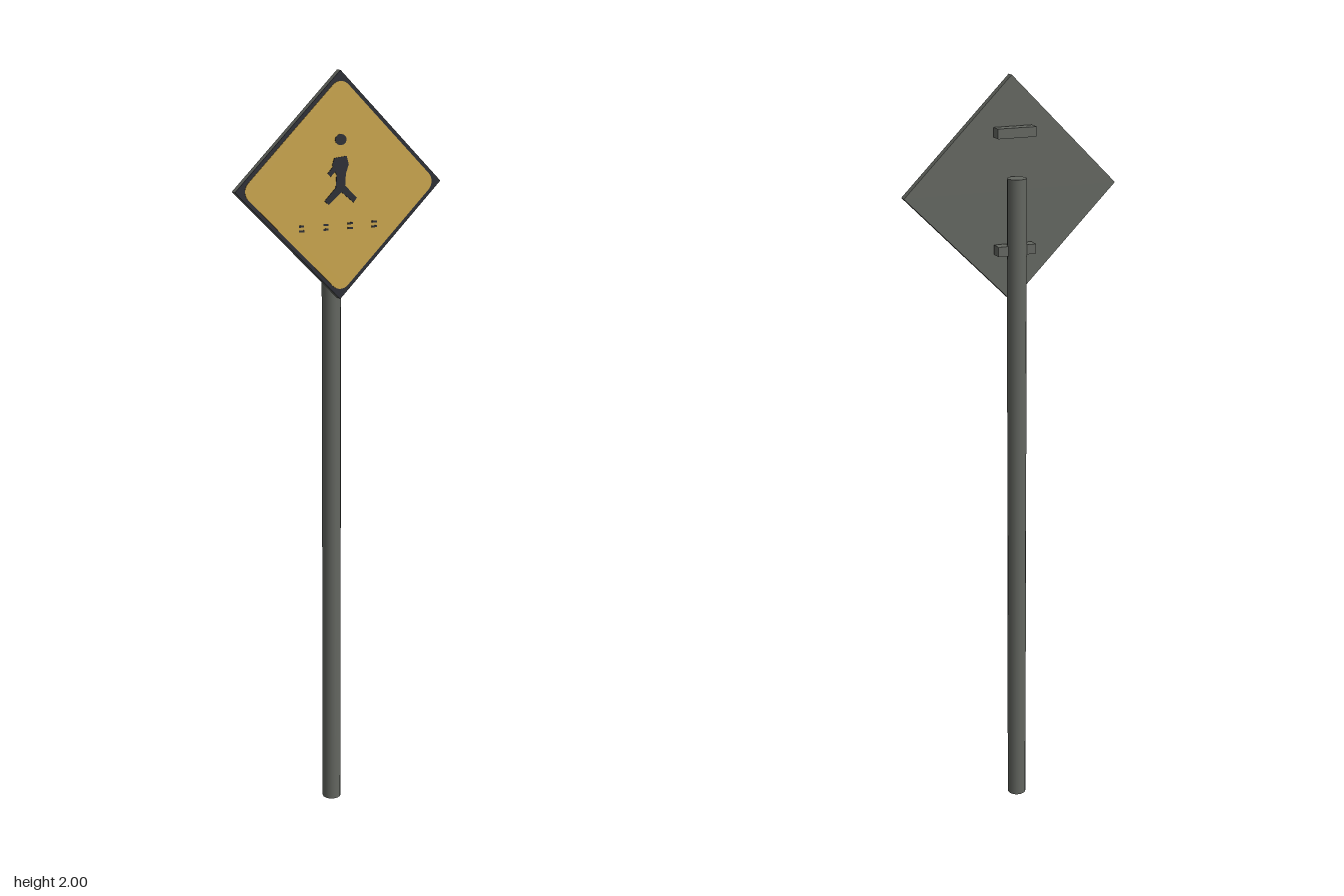
import * as THREE from 'three';

export function createModel() {
  const root = new THREE.Group();
  root.name = 'pedestrianCrossingSign';
  const mat = (name, color) => {
    const m = new THREE.MeshStandardMaterial({ color });
    m.name = name;
    return m;
  };
  const steel = mat('greySteel', 0x646761);
  const yellow = mat('signYellow', 0xcba64c);
  const dark = mat('darkPaint', 0x282a32);

  const add = (parent, name, geo, material, x = 0, y = 0, z = 0) => {
    const mesh = new THREE.Mesh(geo, material);
    mesh.name = name;
    mesh.position.set(x, y, z);
    parent.add(mesh);
    return mesh;
  };
  const plate = (shape, depth) =>
    new THREE.ExtrudeGeometry(shape, { depth, bevelEnabled: false, curveSegments: 6 });
  const polygon = (pts) => new THREE.Shape(pts.map(([x, y]) => new THREE.Vector2(x, y)));

  // square with rounded corners, h = half side
  const roundedSquare = (h, r) => {
    const s = new THREE.Shape();
    const c = h - r;
    s.absarc(c, c, r, 0, Math.PI / 2);
    s.absarc(-c, c, r, Math.PI / 2, Math.PI);
    s.absarc(-c, -c, r, Math.PI, Math.PI * 1.5);
    s.absarc(c, -c, r, Math.PI * 1.5, Math.PI * 2);
    return s;
  };

  // post
  add(root, 'post', new THREE.CylinderGeometry(0.025, 0.025, 1.75, 16), steel, 0, 0.875, -0.016);

  // mounting brackets behind the panel
  for (const [name, y] of [['upperBracket', 1.863], ['lowerBracket', 1.567]]) {
    add(root, name, new THREE.BoxGeometry(0.103, 0.025, 0.03), steel, 0, y, -0.005);
  }

  // diamond panel: steel body, dark border, yellow face
  const sign = new THREE.Group();
  sign.name = 'signPanel';
  sign.position.set(0, 1.713, 0);
  root.add(sign);
  const side = 0.287 * Math.SQRT2;
  const turn = Math.PI / 4;
  add(sign, 'panelBody', new THREE.BoxGeometry(side, side, 0.019), steel, 0, 0, 0.0265).rotation.z = turn;
  add(sign, 'panelBorder', new THREE.BoxGeometry(side, side, 0.001), dark, 0, 0, 0.0365).rotation.z = turn;
  add(sign, 'panelFace', plate(roundedSquare(side / 2 - 0.01, 0.03), 0.0015), yellow, 0, 0, 0.037).rotation.z = turn;

  // walking figure
  const figure = new THREE.Group();
  figure.name = 'walkingFigure';
  figure.position.z = 0.0385;
  sign.add(figure);
  const head = new THREE.Shape();
  head.absellipse(0, 0.117, 0.016, 0.014, 0, Math.PI * 2);
  add(figure, 'head', plate(head, 0.0015), dark);
  add(figure, 'body', plate(polygon([
    [-0.018, 0.072], [0.016, 0.076], [0.022, 0.055], [0.014, 0.032], [0.012, 0.002],
    [0.045, -0.03], [0.036, -0.042], [0.002, -0.014], [-0.034, -0.044], [-0.045, -0.034],
    [-0.014, -0.002], [-0.012, 0.03], [-0.024, 0.055],
  ]), 0.0015), dark);
  add(figure, 'arm', plate(polygon([
    [-0.018, 0.055], [-0.012, 0.042], [-0.028, 0.026], [-0.037, 0.034],
  ]), 0.0015), dark);

  // crossing marks below the feet
  for (let i = 0; i < 4; i++) {
    for (const y of [-0.094, -0.106]) {
      add(figure, 'crossingMark', new THREE.BoxGeometry(0.014, 0.005, 0.0015), dark, -0.109 + i * 0.068, y, 0.00075);
    }
  }
  return root;
}
